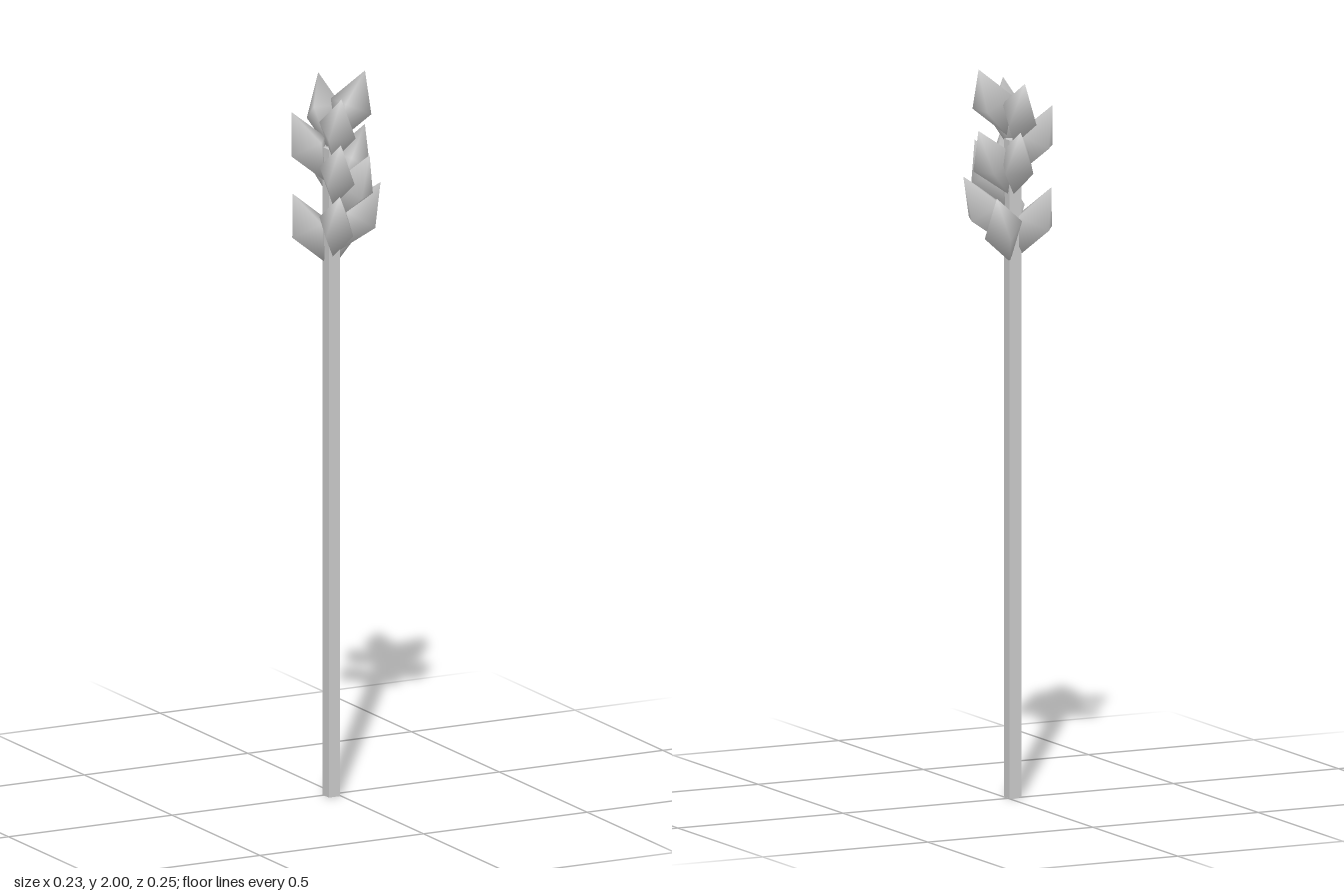
import * as THREE from 'three';

const STEM = { x: -0.02, z: 0.013, width: 0.035, height: 1.8 };

// Tips of the grains, in three tiers of four from top to bottom
const TIERS = [
  ['topGrain', [[0.087, 2.0, 0.005], [0.013, 1.975, -0.124], [-0.036, 1.955, 0.1], [-0.108, 1.895, -0.05]]],
  ['middleGrain', [[0.108, 1.84, -0.035], [0.02, 1.84, -0.112], [-0.042, 1.83, 0.108], [0.05, 1.79, 0.1]]],
  ['lowerGrain', [[0.105, 1.7, 0.06], [-0.05, 1.69, 0.117], [-0.108, 1.67, -0.045], [0.065, 1.655, -0.06]]],
];

export function createModel() {
  const model = new THREE.Group();
  model.name = 'wheatStalk';
  const material = new THREE.MeshStandardMaterial({ color: 0xcccccc });

  // Square stem
  const stem = new THREE.Mesh(new THREE.BoxGeometry(STEM.width, STEM.height, STEM.width), material);
  stem.name = 'stem';
  stem.position.set(STEM.x, STEM.height / 2, STEM.z);
  model.add(stem);

  // Grain: smooth four-sided double pyramid with a square waist
  const grainGeometry = new THREE.SphereGeometry(1, 4, 2);
  grainGeometry.rotateY(Math.PI / 4);
  grainGeometry.scale(0.045 * Math.SQRT2, 1, 0.038 * Math.SQRT2);

  // Each grain leans outward from the stem to its tip
  const addGrain = (name, [x, y, z]) => {
    const tip = new THREE.Vector3(x, y, z);
    const outward = new THREE.Vector3(x - STEM.x, 0, z - STEM.z).normalize();
    const base = new THREE.Vector3(STEM.x, y - 0.188, STEM.z).addScaledVector(outward, 0.018);
    const axis = tip.clone().sub(base);
    const length = axis.length();
    axis.normalize();
    const side = outward.clone().cross(axis).normalize();
    const across = axis.clone().cross(side);

    const grain = new THREE.Mesh(grainGeometry, material);
    grain.name = name;
    grain.quaternion.setFromRotationMatrix(new THREE.Matrix4().makeBasis(across, axis, side));
    grain.position.copy(base).lerp(tip, 0.5);
    grain.scale.y = length / 2;
    model.add(grain);
  };
  for (const [name, tips] of TIERS) tips.forEach((tip, i) => addGrain(name + (i + 1), tip));

  return model;
}
